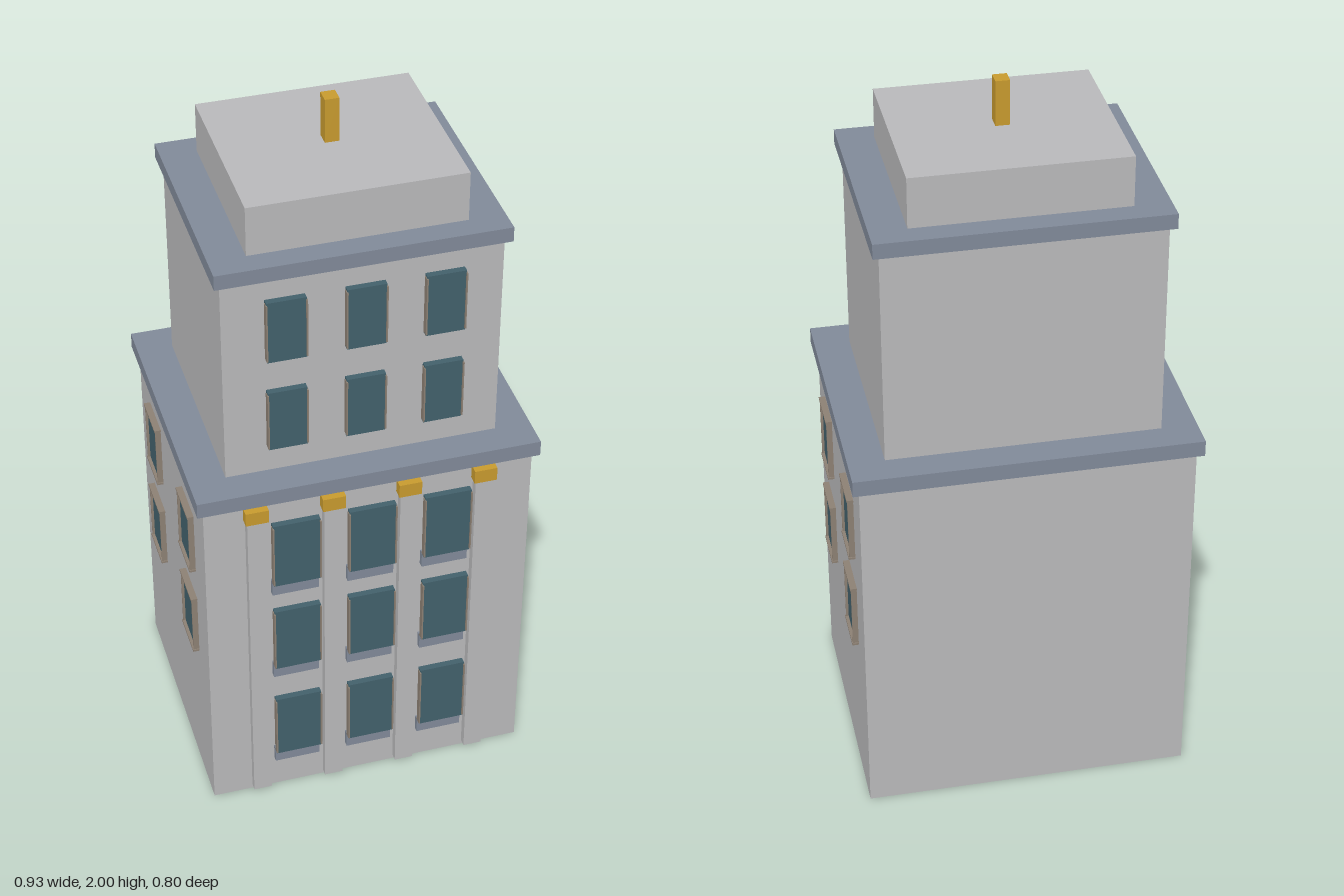
import * as THREE from 'three';

const mat = (name, color) => {
  const m = new THREE.MeshStandardMaterial({ color });
  m.name = name;
  return m;
};

export function createModel() {
  const stone = mat('stone', 0xb8b8ba);
  const slate = mat('slate', 0x808998);
  const glass = mat('glass', 0x42606b);
  const gold = mat('gold', 0xc79a2e);
  const frame = mat('frame', 0x8c8073);

  const model = new THREE.Group();
  model.name = 'tower';

  // Box given by its extents along x, y and z
  const box = (name, material, [x0, x1], [y0, y1], [z0, z1], parent = model) => {
    const mesh = new THREE.Mesh(new THREE.BoxGeometry(x1 - x0, y1 - y0, z1 - z0), material);
    mesh.position.set((x0 + x1) / 2, (y0 + y1) / 2, (z0 + z1) / 2);
    mesh.name = name;
    parent.add(mesh);
    return mesh;
  };

  // Stacked blocks, cornices and finial
  box('lowerBlock', stone, [-0.449, 0.449], [0, 1.045], [-0.383, 0.36]);
  box('lowerCornice', slate, [-0.467, 0.467], [1.045, 1.09], [-0.399, 0.375]);
  box('upperBlock', stone, [-0.369, 0.369], [1.09, 1.695], [-0.315, 0.287]);
  box('upperCornice', slate, [-0.386, 0.386], [1.695, 1.737], [-0.33, 0.305]);
  box('roofCap', stone, [-0.288, 0.288], [1.737, 1.876], [-0.267, 0.241]);
  box('finial', gold, [-0.019, 0.019], [1.876, 2], [-0.034, 0.007]);

  // Front pilasters with gilded capitals
  for (const x of [-0.312, -0.104, 0.104, 0.312]) {
    box('pilaster', stone, [x - 0.026, x + 0.026], [0.015, 1.0], [0.36, 0.383]);
    box('capital', gold, [x - 0.031, x + 0.031], [1.0, 1.04], [0.36, 0.389]);
  }

  // Front window: glass panel standing off the wall, with thin side jambs
  const frontWindow = (x, w, y0, y1, z) => {
    const g = new THREE.Group();
    g.name = 'frontWindow';
    box('pane', glass, [x - w, x + w], [y0, y1], [z, z + 0.018], g);
    for (const s of [-1, 1]) {
      const e = x + s * w;
      box('jamb', frame, [e - 0.002, e + 0.002], [y0 + 0.006, y1 - 0.006], [z + 0.004, z + 0.023], g);
    }
    model.add(g);
  };

  for (const x of [-0.208, 0, 0.208]) {
    for (const y of [0.152, 0.478, 0.778]) {
      frontWindow(x, 0.064, y, y + 0.207, 0.376);
      box('spandrel', slate, [x - 0.064, x + 0.064], [y - 0.047, y], [0.36, 0.376]);
    }
    for (const y of [1.182, 1.46]) frontWindow(x, 0.052, y, y + 0.182, 0.303);
  }

  // Side windows: recessed panes inside projecting frames
  for (const side of [-1, 1]) {
    const span = (a, b) => (side > 0 ? [a, b] : [-b, -a]);
    for (const z of [0.18, -0.202]) {
      for (const y of [0.555, 0.846]) {
        const g = new THREE.Group();
        g.name = 'sideWindow';
        box('pane', glass, span(0.449, 0.458), [y - 0.09, y + 0.09], [z - 0.06, z + 0.06], g);
        for (const s of [-1, 1]) {
          const ey = y + s * 0.093, ez = z + s * 0.061;
          box('rail', frame, span(0.449, 0.467), [ey - 0.003, ey + 0.003], [z - 0.066, z + 0.066], g);
          box('stile', frame, span(0.449, 0.465), [y - 0.09, y + 0.09], [ez - 0.002, ez + 0.002], g);
        }
        model.add(g);
      }
    }
  }

  return model;
}
